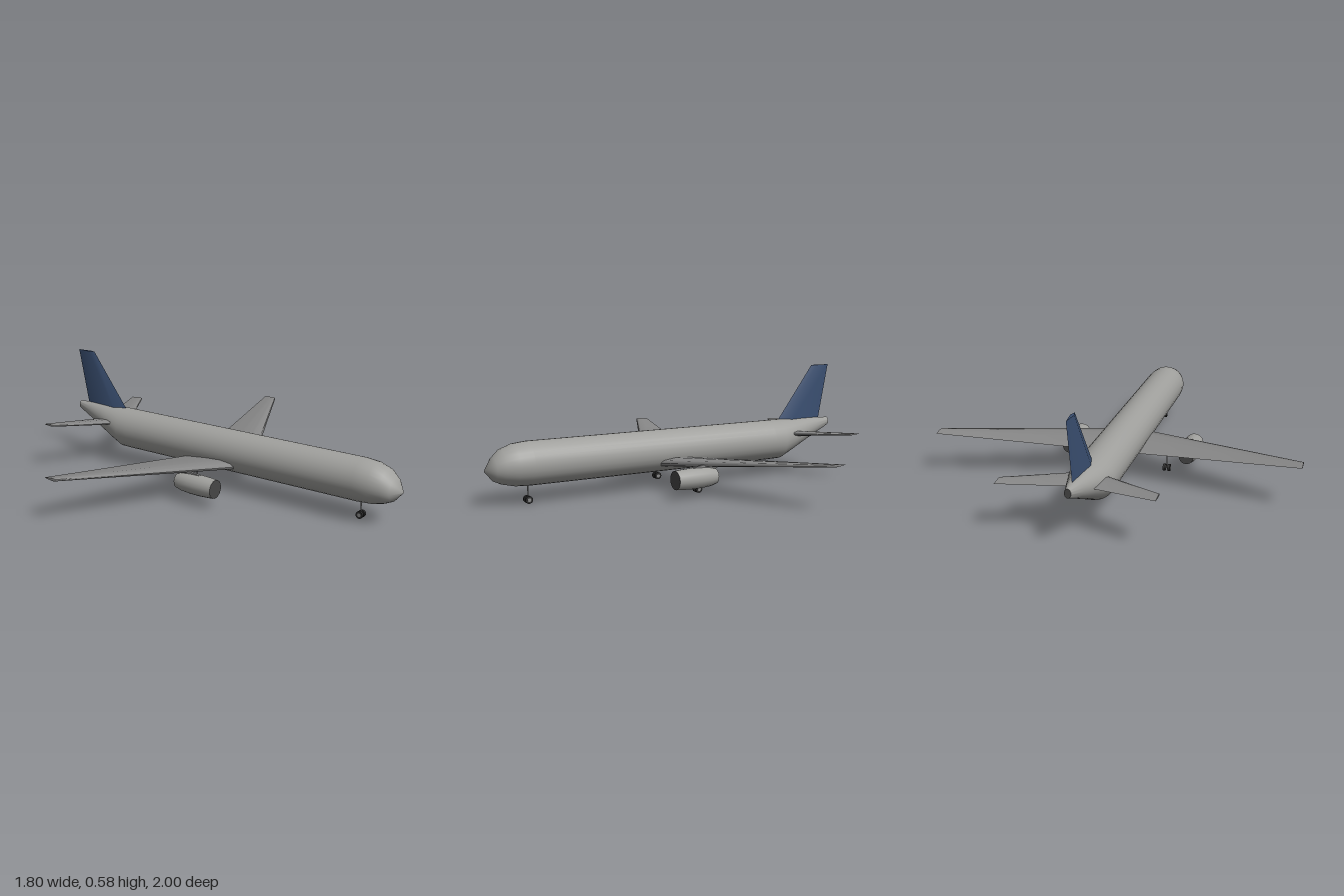
import * as THREE from 'three';
import { toCreasedNormals } from 'three/addons/utils/BufferGeometryUtils.js';

const paint = color => new THREE.MeshStandardMaterial({ color });
const bodyGrey = paint(0xa0a09d);
const wingGrey = paint(0x878787);
const blue = paint(0x3a4f71);
const dark = paint(0x464646);
const rubber = paint(0x2c2c2c);

// Skin a row of equal-length rings and close both ends.
function loft(rings, crease = 0.7) {
  const n = rings[0].length, last = (rings.length - 1) * n;
  const pos = rings.flat(2), index = [];
  for (let i = 0; i < rings.length - 1; i++) {
    for (let j = 0; j < n; j++) {
      const a = i * n + j, b = i * n + (j + 1) % n;
      index.push(a, b, b + n, a, b + n, a + n);
    }
  }
  for (const ring of [rings[0], rings[rings.length - 1]]) {
    for (let k = 0; k < 3; k++) pos.push(ring.reduce((s, p) => s + p[k], 0) / n);
  }
  const c = rings.length * n;
  for (let j = 0; j < n; j++) {
    const k = (j + 1) % n;
    index.push(c, k, j, c + 1, last + j, last + k);
  }
  const g = new THREE.BufferGeometry();
  g.setAttribute('position', new THREE.Float32BufferAttribute(pos, 3));
  g.setIndex(index);
  return toCreasedNormals(g, crease);
}

// Half outlines as [chord fraction, thickness fraction]
const roundNose = [[0.04, 0.3], [0.25, 0.5], [0.55, 0.36], [0.85, 0.13]];
const wedge = [[0.28, 0.5]];

// Closed outline: [z, thickness offset] from leading edge round to trailing edge and back.
function foil(half, lead, trail, thick) {
  const at = ([t, h], s) => [lead + (trail - lead) * t, h * thick * s];
  return [at([0, 0], 1), ...half.map(p => at(p, 1)), at([1, 0], 1),
    ...half.slice().reverse().map(p => at(p, -1))];
}

function add(parent, name, geometry, material, x = 0, y = 0, z = 0) {
  const mesh = new THREE.Mesh(geometry, material);
  mesh.name = name;
  mesh.position.set(x, y, z);
  parent.add(mesh);
  return mesh;
}

// A pair of swept surfaces as one skin, tip to tip.
function wingPair(root, tip) {
  const section = (x, s) => foil(roundNose, s.lead, s.trail, s.thick).map(([z, h]) => [x, s.y - h, z]);
  return loft([section(-tip.x, tip), section(0, root), section(tip.x, tip)], 1.4);
}

function gear(parent, name, x, z, top) {
  const g = new THREE.Group();
  g.name = name;
  g.position.set(x, 0, z);
  parent.add(g);
  add(g, 'strut', new THREE.CylinderGeometry(0.003, 0.003, top - 0.018, 8), wingGrey, 0, (top + 0.018) / 2, 0);
  const axle = new THREE.CylinderGeometry(0.004, 0.004, 0.037, 8).rotateZ(Math.PI / 2);
  add(g, 'axle', axle, wingGrey, 0, 0.018, 0);
  for (const s of [-1, 1]) {
    const tyre = new THREE.CylinderGeometry(0.018, 0.018, 0.012, 16).rotateZ(Math.PI / 2);
    add(g, 'wheel', tyre, rubber, s * 0.012, 0.018, 0);
    const hub = new THREE.CylinderGeometry(0.009, 0.009, 0.013, 12).rotateZ(Math.PI / 2);
    add(g, 'hub', hub, wingGrey, s * 0.0125, 0.018, 0);
  }
}

function engine(parent, x) {
  const g = new THREE.Group();
  g.name = x > 0 ? 'leftEngine' : 'rightEngine';
  g.position.set(x, 0.096, 0);
  parent.add(g);
  const profile = [[0.037, -0.055], [0.046, -0.02], [0.05, 0.03], [0.051, 0.08], [0.049, 0.13], [0.046, 0.17]];
  const shell = new THREE.LatheGeometry(profile.map(p => new THREE.Vector2(...p)), 18).rotateX(Math.PI / 2);
  add(g, 'nacelle', shell, bodyGrey);
  add(g, 'intake', new THREE.CircleGeometry(0.046, 18), dark, 0, 0, 0.17);
  add(g, 'exhaust', new THREE.CircleGeometry(0.037, 18).rotateY(Math.PI), dark, 0, 0, -0.055);
  // Pylon between the nacelle and the wing
  const side = new THREE.Shape([[0.1, 0.045], [0.06, 0.055], [0.0, 0.062], [-0.1, 0.062], [-0.04, 0.03], [0.06, 0.03]]
    .map(([z, y]) => new THREE.Vector2(-z, y)));
  const pylon = new THREE.ExtrudeGeometry(side, { depth: 0.012, bevelEnabled: false });
  pylon.translate(0, 0, -0.006).rotateY(Math.PI / 2);
  add(g, 'pylon', pylon, wingGrey);
}

export function createModel() {
  const model = new THREE.Group();
  model.name = 'airliner';

  // Fuselage sections: z, half width, bottom, top
  const sections = [
    [-1, 0.015, 0.243, 0.286], [-0.9, 0.042, 0.2, 0.291], [-0.8, 0.07, 0.155, 0.294],
    [-0.72, 0.092, 0.118, 0.295], [-0.65, 0.104, 0.086, 0.295], [-0.58, 0.105, 0.085, 0.295],
    [0.79, 0.105, 0.085, 0.295], [0.86, 0.1, 0.089, 0.288], [0.92, 0.084, 0.103, 0.267],
    [0.958, 0.062, 0.12, 0.232], [1, 0.003, 0.168, 0.174]];
  const sides = 28;
  const body = sections.map(([z, w, lo, hi]) => Array.from({ length: sides }, (_, i) => {
    const a = i / sides * Math.PI * 2;
    return [w * Math.cos(a), (lo + hi) / 2 + (hi - lo) / 2 * Math.sin(a), z];
  }));
  add(model, 'fuselage', loft(body), bodyGrey);
  const outlet = new THREE.CircleGeometry(1, sides).scale(0.015, 0.0215, 1).rotateY(Math.PI);
  add(model, 'tailOutlet', outlet, dark, 0, 0.2645, -1.0005);

  // Main wings and tailplane
  add(model, 'wings', wingPair(
    { lead: 0.172, trail: -0.157, y: 0.132, thick: 0.05 },
    { x: 0.9, lead: -0.283, trail: -0.358, y: 0.216, thick: 0.014 }), wingGrey);
  add(model, 'tailplane', wingPair(
    { lead: -0.645, trail: -0.81, y: 0.217, thick: 0.032 },
    { x: 0.355, lead: -0.857, trail: -0.932, y: 0.242, thick: 0.01 }), wingGrey);

  // Tail fin
  const fin = [[0.26, -0.637, -0.934, 0.048], [0.58, -0.885, -1, 0.018]];
  add(model, 'tailFin', loft(fin.map(([y, lead, trail, thick]) =>
    foil(wedge, lead, trail, thick).map(([z, h]) => [h, y, z]))), blue);

  // Engines and landing gear
  gear(model, 'noseGear', 0, 0.79, 0.1);
  for (const s of [1, -1]) {
    engine(model, s * 0.305);
    gear(model, s > 0 ? 'leftGear' : 'rightGear', s * 0.2, -0.02, 0.15);
  }
  return model;
}
